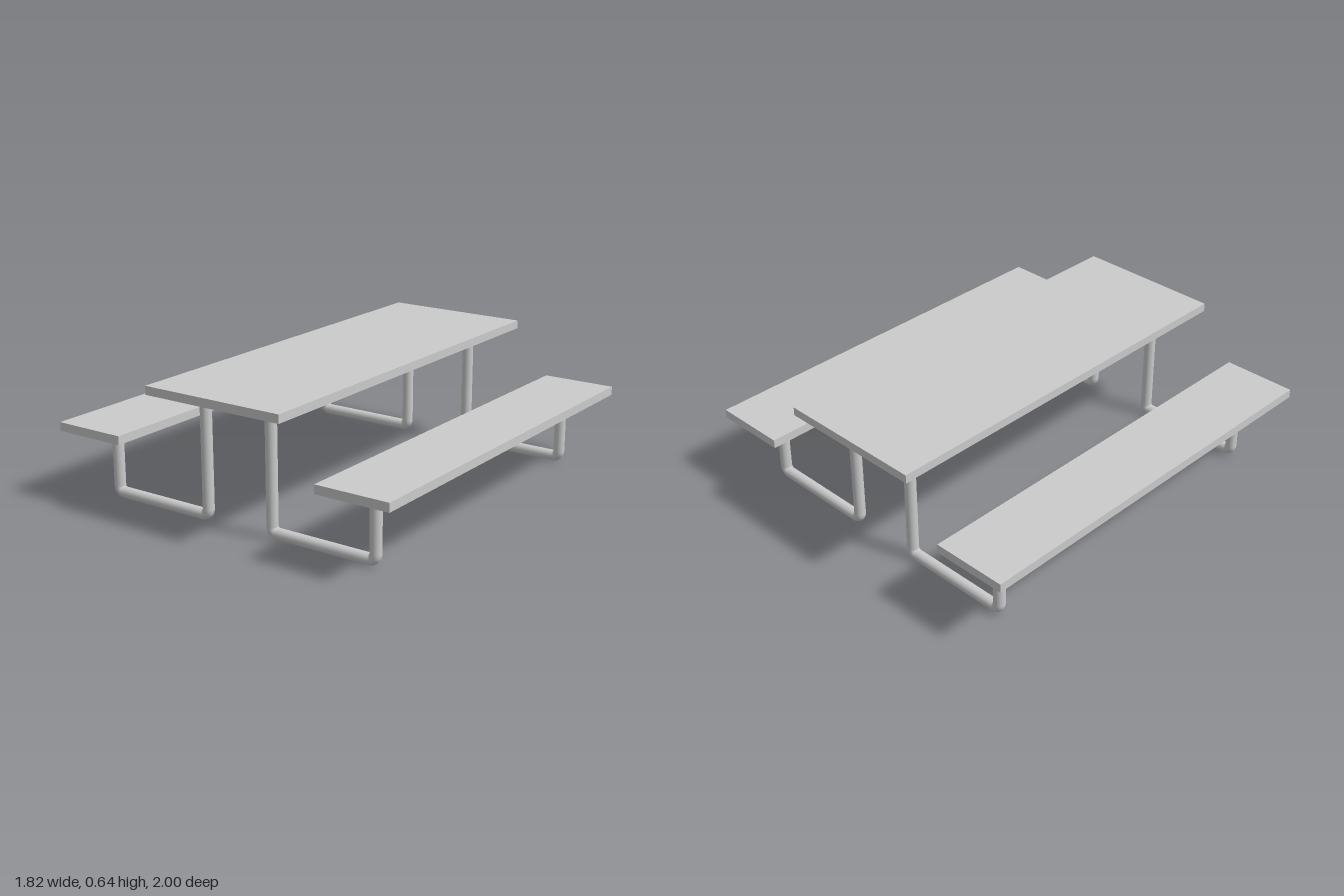
import * as THREE from 'three';

const material = new THREE.MeshStandardMaterial({ color: 0xcccccc });
const R = 0.027;       // pipe radius
const BEND = 0.03;     // bend radius at the pipe's centre line
const INNER = 0.181, OUTER = 0.723; // x of the two uprights of a leg

function add(parent, name, geometry, x, y, z) {
  const mesh = new THREE.Mesh(geometry, material);
  mesh.name = name;
  mesh.position.set(x, y, z);
  parent.add(mesh);
  return mesh;
}

// U-shaped pipe: tall upright under the table, short one under the bench
function createLeg(side) {
  const leg = new THREE.Group();
  const low = R + BEND;
  const upright = (name, x, top) =>
    add(leg, name, new THREE.CylinderGeometry(R, R, top - low, 24), x, (top + low) / 2, 0);
  upright('tableUpright', side * INNER, 0.605);
  upright('benchUpright', side * OUTER, 0.34);

  const bar = new THREE.CylinderGeometry(R, R, OUTER - INNER - 2 * BEND, 24);
  add(leg, 'floorBar', bar.rotateZ(Math.PI / 2), side * (INNER + OUTER) / 2, R, 0);

  // quarter-torus bends at the lower left and lower right corners
  const a = side * INNER, b = side * OUTER;
  const bend = (x, start) => {
    const g = new THREE.TorusGeometry(BEND, R, 24, 10, Math.PI / 2);
    add(leg, 'pipeBend', g.rotateZ(start), x, low, 0);
  };
  bend(Math.min(a, b) + BEND, Math.PI);
  bend(Math.max(a, b) - BEND, Math.PI * 1.5);
  return leg;
}

export function createModel() {
  const model = new THREE.Group();
  model.name = 'picnicTable';

  add(model, 'tableTop', new THREE.BoxGeometry(0.73, 0.041, 2), 0, 0.621, 0);

  for (const side of [-1, 1]) {
    const label = side > 0 ? 'left' : 'right';
    add(model, label + 'Bench', new THREE.BoxGeometry(0.366, 0.042, 2), side * 0.725, 0.357, 0);
    for (const end of [-1, 1]) {
      const leg = createLeg(side);
      leg.name = label + (end > 0 ? 'Front' : 'Back') + 'Leg';
      leg.position.z = end * 0.818;
      model.add(leg);
    }
  }
  return model;
}
